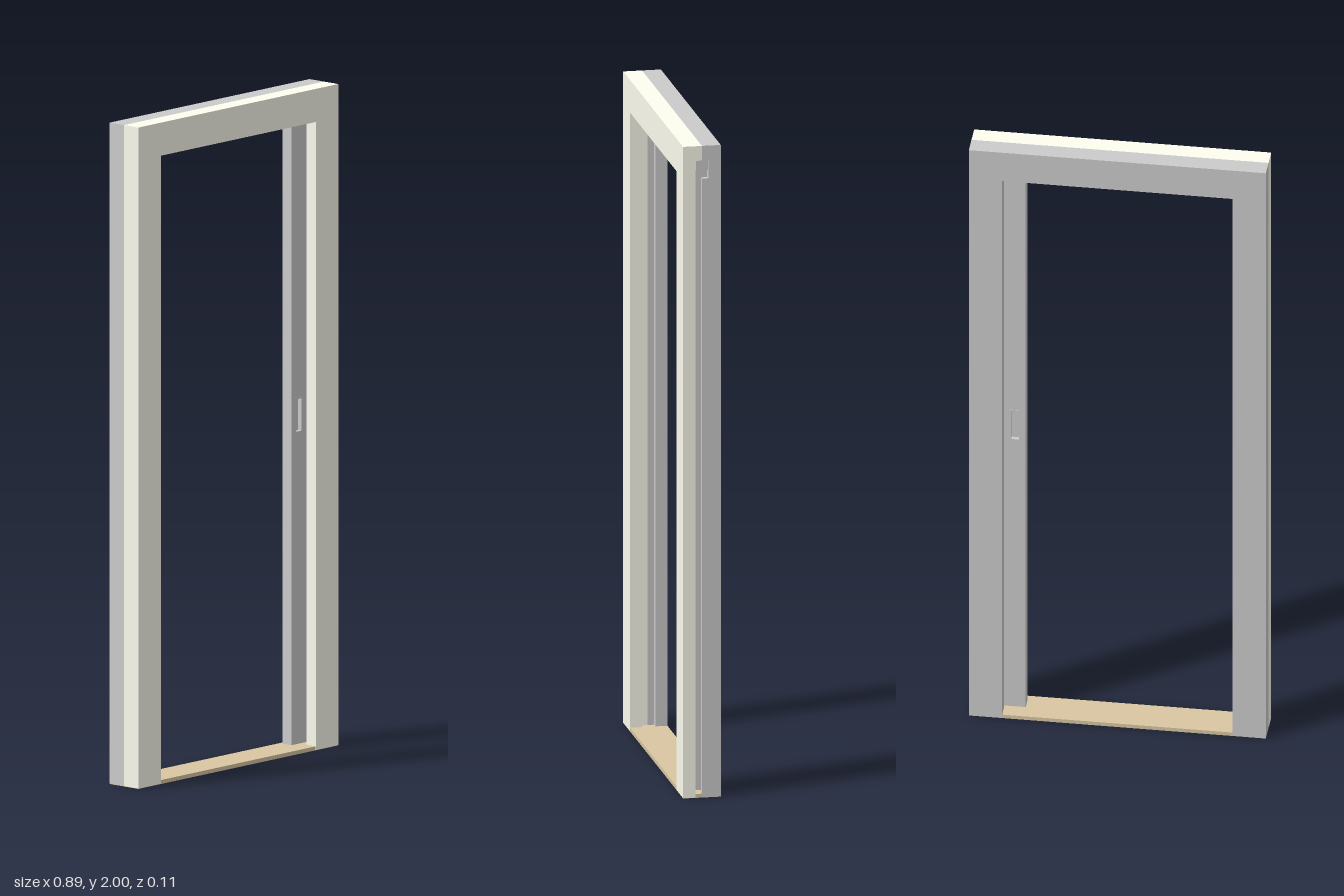
import * as THREE from 'three';

const W = 0.445, H = 2, D = 0.057;       // half width, height, half depth
const OPEN = 0.345, HEAD = 1.9;          // clear opening
const SLOT = 0.02, SLOT_TOP = 1.955;     // half depth and top of the sliding channel
const FOOT = 0.001;

const grey = new THREE.MeshStandardMaterial({ color: 0xcccccc });
const cream = new THREE.MeshStandardMaterial({ color: 0xfdfdf0 });
const tan = new THREE.MeshStandardMaterial({ color: 0xd9c6a2 });

// Box given by its lower and upper corners
function box(name, x0, x1, y0, y1, z0, z1, material) {
  const mesh = new THREE.Mesh(new THREE.BoxGeometry(x1 - x0, y1 - y0, z1 - z0), material);
  mesh.position.set((x0 + x1) / 2, (y0 + y1) / 2, (z0 + z1) / 2);
  mesh.name = name;
  return mesh;
}

function rectPath(target, x0, x1, y0, y1) {
  target.moveTo(x0, y0);
  target.lineTo(x1, y0);
  target.lineTo(x1, y1);
  target.lineTo(x0, y1);
  target.closePath();
  return target;
}

// Flat panel with a rectangular hole, running from z0 to z1
function holedPanel(name, outer, hole, z0, z1, material) {
  const shape = rectPath(new THREE.Shape(), ...outer);
  shape.holes.push(rectPath(new THREE.Path(), ...hole));
  const geometry = new THREE.ExtrudeGeometry(shape, { depth: z1 - z0, bevelEnabled: false });
  geometry.translate(0, 0, z0);
  const mesh = new THREE.Mesh(geometry, material);
  mesh.name = name;
  return mesh;
}

// One half of the casing: an arch-shaped face plus the solid core behind it
function casingHalf(name, side, material) {
  const half = new THREE.Group();
  half.name = name;
  const arch = new THREE.Shape([
    [-W, FOOT], [-OPEN, FOOT], [-OPEN, HEAD], [OPEN, HEAD],
    [OPEN, FOOT], [W, FOOT], [W, H], [-W, H],
  ].map(([x, y]) => new THREE.Vector2(x, y)));
  const geometry = new THREE.ExtrudeGeometry(arch, { depth: D - SLOT, bevelEnabled: false });
  geometry.translate(0, 0, side > 0 ? SLOT : -D);
  const face = new THREE.Mesh(geometry, material);
  face.name = name + 'Face';
  const z0 = side > 0 ? 0 : -SLOT, z1 = z0 + SLOT;
  half.add(
    face,
    box(name + 'HeadCore', -W, W, SLOT_TOP, H, z0, z1, material),
    box(name + 'JambCore', -W, -OPEN - 0.02, FOOT, SLOT_TOP, z0, z1, material),
  );
  return half;
}

// Sliding door leaf parked in its pocket, with a flush pull on both faces
function slidingDoor() {
  const door = new THREE.Group();
  door.name = 'slidingDoor';
  const t = 0.018;
  const [x0, x1, y0, y1] = [0.295, 0.328, 0.96, 1.068];
  const rim = 0.005;
  door.add(
    holedPanel('doorLeaf', [0.28, 0.43, 0.02, 1.925], [x0, x1, y0, y1], -t, t, grey),
    holedPanel('pullRim', [x0, x1, y0, y1], [x0 + rim, x1 - rim, y0 + rim, y1 - rim],
      -t - 0.001, t + 0.001, grey),
    box('pullRecess', x0 + rim, x1 - rim, y0 + rim, y1 - rim, -0.006, 0.006, grey),
  );
  return door;
}

export function createModel() {
  const model = new THREE.Group();
  model.name = 'slidingDoorFrame';
  model.add(
    casingHalf('frontCasing', 1, cream),
    casingHalf('backCasing', -1, grey),
    // Strip that half closes the end of the pocket
    box('pocketEndStrip', 0.431, W, FOOT, HEAD, -SLOT, 0, grey),
    // Overhead track in the channel
    box('track', -0.365, W - 0.001, 1.925, SLOT_TOP, -0.018, 0.018, grey),
    slidingDoor(),
    // Floor sill under the whole frame
    box('sill', -W + 0.0005, W - 0.0005, 0, 0.012, -D + 0.0005, D - 0.0005, tan),
  );
  return model;
}
